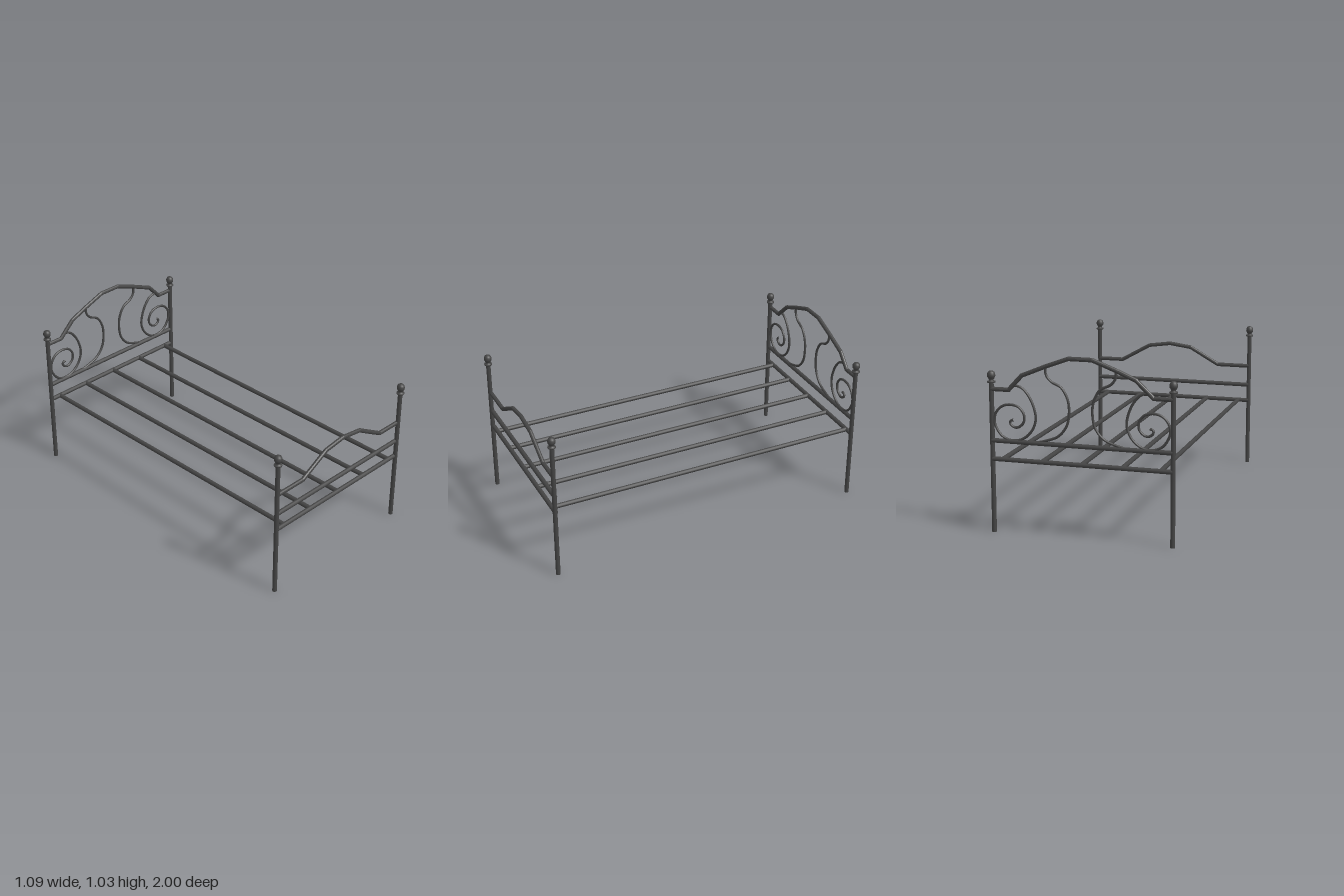
import * as THREE from 'three';

const smooth = new THREE.MeshStandardMaterial({ color: 0x444444 });
const faceted = new THREE.MeshStandardMaterial({ color: 0x444444, flatShading: true });

const POST_X = 0.523, POST_Z = 0.977, BAR_R = 0.0135;
const HEAD_Z = -0.98, FOOT_Z = 0.972;

function add(parent, name, geometry, material = smooth) {
  const mesh = new THREE.Mesh(geometry, material);
  mesh.name = name;
  parent.add(mesh);
  return mesh;
}

// Bar with mitred corners along a polyline in the xy plane
function mitredBar(points, radius) {
  const p = points.map(([x, y]) => new THREE.Vector2(x, y));
  const n = p.length, sides = 10;
  const geo = new THREE.CylinderGeometry(1, 1, 1, sides, n - 1, true);
  const pos = geo.attributes.position;
  for (let v = 0; v < pos.count; v++) {
    const i = n - 1 - Math.floor(v / (sides + 1));
    const a = p[Math.max(i, 1)].clone().sub(p[Math.max(i, 1) - 1]).normalize();
    const j = Math.min(i, n - 2);
    const b = p[j + 1].clone().sub(p[j]).normalize();
    const t = a.clone().add(b).normalize();
    const k = pos.getX(v) * radius / t.dot(a);
    pos.setXYZ(v, p[i].x + t.y * k, p[i].y - t.x * k, pos.getZ(v) * radius);
  }
  geo.computeVertexNormals();
  return geo;
}

// Smooth wire through points, side = -1 or 1 mirrors it in x
function wire(points, side, segments) {
  const curve = new THREE.CatmullRomCurve3(
    points.map(([x, y]) => new THREE.Vector3(x * side, y, 0)));
  return new THREE.TubeGeometry(curve, segments, 0.0075, 8);
}

// Post with collar and ball finial, one lathe profile
function postGeometry() {
  const profile = [
    [0, 0], [0.0135, 0], [0.0135, 0.862], [0.023, 0.863], [0.024, 0.867], [0.023, 0.871],
    [0.0135, 0.872], [0.0135, 0.881], [0.017, 0.885], [0.017, 0.888], [0.022, 0.894],
    [0.0235, 0.902], [0.0225, 0.912], [0.018, 0.922], [0.01, 0.928], [0, 0.93],
  ];
  return new THREE.LatheGeometry(profile.map(([x, y]) => new THREE.Vector2(x, y)), 16);
}

export function createModel() {
  const bed = new THREE.Group();
  bed.name = 'bedFrame';

  const headboard = new THREE.Group();
  headboard.name = 'headboard';
  headboard.position.z = HEAD_Z;
  const footboard = new THREE.Group();
  footboard.name = 'footboard';
  footboard.position.z = FOOT_Z;
  bed.add(headboard, footboard);

  // Four corner posts
  const post = postGeometry();
  for (const x of [-POST_X, POST_X])
    for (const z of [-POST_Z, POST_Z])
      add(bed, 'post', post).position.set(x, 0, z);

  // Two straight cross rails at each end
  const rail = new THREE.CylinderGeometry(BAR_R, BAR_R, POST_X * 2, 12).rotateZ(Math.PI / 2);
  for (const board of [headboard, footboard]) {
    add(board, 'upperRail', rail).position.y = 0.534;
    add(board, 'lowerRail', rail).position.y = 0.428;
  }

  // Angular top bars
  add(headboard, 'headboardArch', mitredBar([
    [-POST_X, 0.827], [-0.414, 0.827], [-0.314, 0.921], [-0.203, 0.968], [-0.066, 1.019],
    [0.069, 1.019], [0.206, 0.968], [0.341, 0.912], [0.42, 0.827], [POST_X, 0.827],
  ], 0.0125), faceted);
  add(footboard, 'footboardArch', mitredBar([
    [-POST_X, 0.662], [-0.311, 0.662], [-0.121, 0.769], [0.022, 0.789],
    [0.168, 0.769], [0.358, 0.662], [POST_X, 0.662],
  ], 0.0125), faceted);

  // Headboard scrollwork, mirrored
  const scroll = [
    [0.4, 0.85], [0.375, 0.853], [0.337, 0.838], [0.29, 0.778], [0.262, 0.675], [0.287, 0.602],
    [0.342, 0.553], [0.405, 0.541], [0.463, 0.564], [0.505, 0.632], [0.499, 0.69],
    [0.463, 0.731], [0.414, 0.744], [0.361, 0.731], [0.331, 0.69], [0.335, 0.646],
    [0.37, 0.617], [0.396, 0.62], [0.414, 0.64], [0.408, 0.655], [0.393, 0.658],
  ];
  const sCurve = [
    [0.203, 0.968], [0.199, 0.924], [0.172, 0.889], [0.112, 0.857], [0.077, 0.798],
    [0.067, 0.734], [0.081, 0.646], [0.132, 0.582], [0.215, 0.549], [0.262, 0.538],
  ];
  for (const side of [-1, 1]) {
    add(headboard, 'scroll', wire(scroll, side, 110));
    add(headboard, 'sCurve', wire(sCurve, side, 50));
  }

  // Lengthwise slats
  const slat = new THREE.CylinderGeometry(BAR_R, BAR_R, FOOT_Z - HEAD_Z, 12).rotateX(Math.PI / 2);
  for (const x of [-0.453, -0.235, 0, 0.23, 0.463])
    add(bed, 'slat', slat).position.set(x, 0.428, (HEAD_Z + FOOT_Z) / 2);

  return bed;
}
